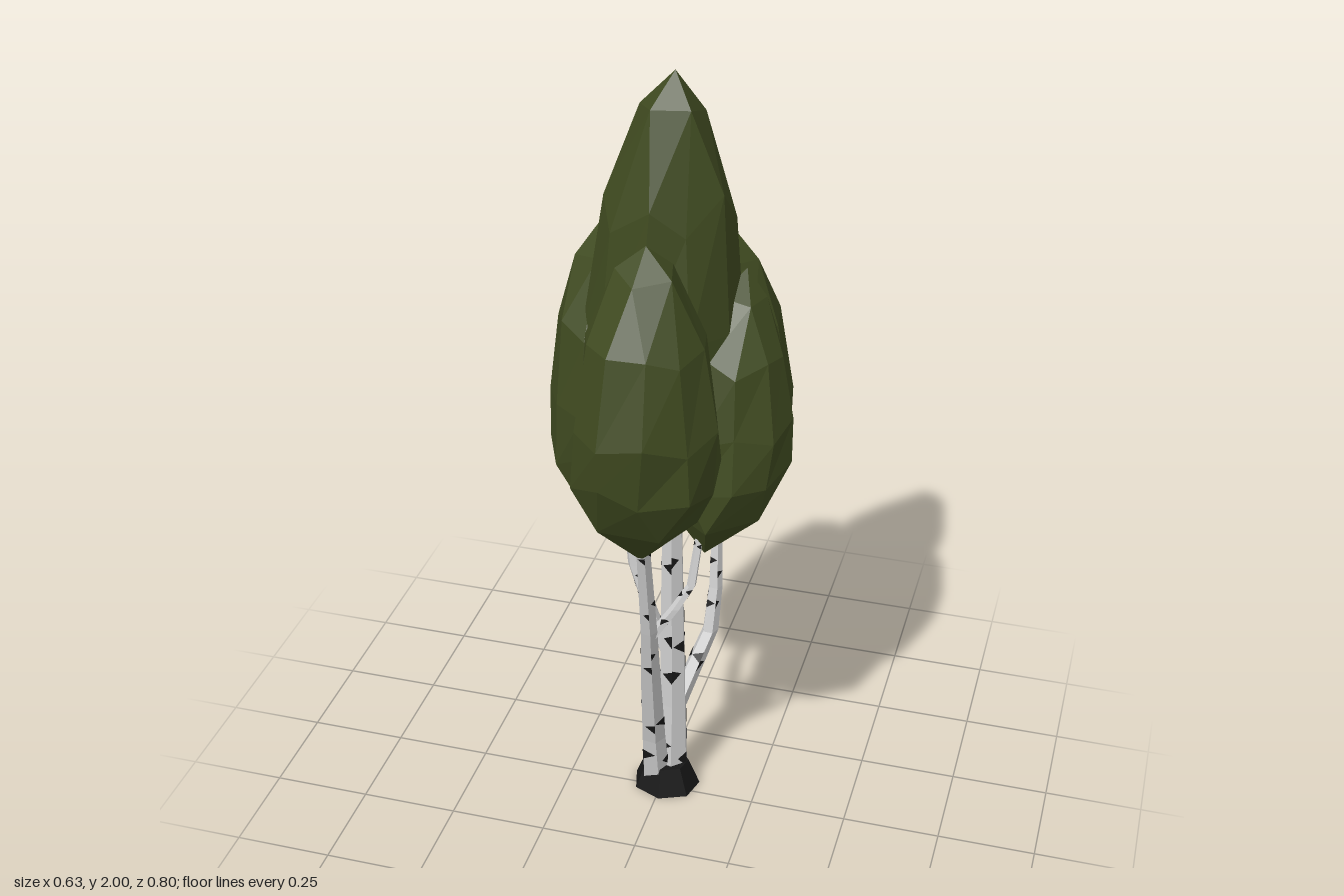
import * as THREE from 'three';

const mat = (color, extra = {}) => new THREE.MeshStandardMaterial({ color, flatShading: true, roughness: 1, ...extra });
const leafMat = mat(0x3f4a20);
const barkMat = mat(0xcccccc, { side: THREE.DoubleSide });
const darkMat = mat(0x161616, { side: THREE.DoubleSide });

// Repeatable noise in -1..1 from a position and a seed
function noise(x, y, z, seed) {
  const v = Math.sin(x * 12.99 + y * 78.23 + z * 37.72 + seed * 4.7) * 43758.55;
  return (v - Math.floor(v)) * 2 - 1;
}

function meshFrom(points, material, name) {
  const g = new THREE.BufferGeometry().setFromPoints(points);
  g.computeVertexNormals();
  const m = new THREE.Mesh(g, material);
  m.name = name;
  return m;
}

// Faceted, twisted egg with a broad, low shoulder above a short conical underside;
// tips are fixed and the middle bulges towards "mid"
function foliage(name, top, bottom, mid, rx, rz, seed) {
  const g = new THREE.IcosahedronGeometry(1, 1);
  g.rotateX(-Math.atan((1 + Math.sqrt(5)) / 2));
  const p = g.attributes.position;
  for (let i = 0; i < p.count; i++) {
    const [x, s, z] = [p.getX(i), p.getY(i), p.getZ(i)].map(v => Math.round(v * 1000) / 1000 + 0);
    const ring = Math.hypot(x, z), bulge = 1 - s * s;
    const a = Math.atan2(z, x) - s * 0.7 + seed;
    const r = ring * (1 - 0.18 * s + 0.15 * s * s - 0.25 * s ** 3) * (1 + 0.06 * noise(x, s, z, seed));
    const t = (s + 1) / 2 + ring * (0.17 * Math.max(0, -s) + 0.03 * noise(z, x, s, seed));
    const y = THREE.MathUtils.lerp(bottom[1], top[1], t);
    const cx = THREE.MathUtils.lerp(THREE.MathUtils.lerp(bottom[0], top[0], t), mid[0], bulge);
    const cz = THREE.MathUtils.lerp(THREE.MathUtils.lerp(bottom[2], top[2], t), mid[1], bulge);
    p.setXYZ(i, cx + Math.cos(a) * r * rx, y, cz + Math.sin(a) * r * rz);
  }
  g.computeVertexNormals();
  const m = new THREE.Mesh(g, leafMat);
  m.name = name;
  return m;
}

// Tapering stem through rings [x, y, z, radius], with dark wedge marks on its faces
function stem(name, rings, sides, markStep, seed) {
  const group = new THREE.Group();
  group.name = name;
  const corner = (i, k, grow = 1) => {
    const [x, y, z, r] = rings[i];
    const a = (k / sides) * Math.PI * 2 + seed;
    return new THREE.Vector3(x + Math.cos(a) * r * grow, y, z + Math.sin(a) * r * grow);
  };
  const bark = [], marks = [];
  for (let i = 0; i < rings.length - 1; i++) {
    const height = rings[i + 1][1] - rings[i][1];
    for (let k = 0; k < sides; k++) {
      const a = corner(i, k), b = corner(i, k + 1), c = corner(i + 1, k), d = corner(i + 1, k + 1);
      bark.push(a, c, b, b, c, d);
      const on = (u, t) => corner(i, k, 1.04).lerp(corner(i, k + 1, 1.04), u)
        .lerp(corner(i + 1, k, 1.04).lerp(corner(i + 1, k + 1, 1.04), u), t);
      const count = Math.max(1, Math.round(height / markStep));
      for (let n = 0; n < count; n++) {
        const t = (n + 0.5 + 0.3 * noise(i, k, n, seed)) / count;
        const h = Math.min(0.2, rings[i][3] * 0.5 / height);
        const flip = noise(k, n, i, seed) > 0;
        const tip = 0.75 + 0.25 * noise(n, i, k, seed);
        const low = on(flip ? 1 : 0, t - h), high = on(flip ? 1 : 0, t + h);
        const point = on(flip ? 1 - tip : tip, t + h * 0.3);
        marks.push(...(flip ? [low, point, high] : [low, high, point]));
      }
    }
  }
  group.add(meshFrom(bark, barkMat, name + 'Bark'), meshFrom(marks, darkMat, name + 'Marks'));
  return group;
}

export function createModel() {
  const tree = new THREE.Group();
  tree.name = 'birchTree';

  // Dark flared foot
  const foot = new THREE.Mesh(new THREE.CylinderGeometry(0.06, 0.09, 0.075, 7), darkMat);
  foot.name = 'trunkFoot';
  foot.scale.z = 0.88;
  foot.position.set(0.008, 0.0375, -0.025);
  tree.add(foot);

  // Trunk, leaning front stem and branches
  tree.add(
    stem('mainTrunk', [[0.018, 0.03, -0.038, 0.048], [0.02, 0.26, -0.045, 0.038],
      [0.015, 0.55, -0.055, 0.033], [0.01, 0.95, -0.067, 0.025]], 6, 0.18, 0.3),
    stem('frontStem', [[-0.015, 0.03, -0.008, 0.037], [-0.015, 0.18, 0.02, 0.032],
      [-0.005, 0.42, 0.082, 0.027], [0.005, 0.6, 0.13, 0.022], [0.01, 0.95, 0.205, 0.017]], 5, 0.18, 1.1),
    stem('backBranch', [[0.03, 0.25, -0.045, 0.027], [0.095, 0.44, -0.138, 0.022],
      [0.1, 0.56, -0.168, 0.019], [0.09, 0.8, -0.215, 0.013]], 5, 0.16, 2.3),
    stem('rightBranch', [[0.0, 0.42, -0.05, 0.022], [-0.04, 0.52, -0.055, 0.019],
      [-0.09, 0.66, -0.065, 0.016], [-0.115, 0.84, -0.085, 0.013]], 5, 0.16, 3.2),
    stem('leftBranch', [[0.005, 0.57, 0.12, 0.016], [0.065, 0.66, 0.098, 0.014],
      [0.1, 0.72, 0.075, 0.012], [0.115, 0.9, 0.025, 0.01]], 5, 0.16, 4.4),
  );

  // Crown: tall centre with four smaller clumps around it
  tree.add(
    foliage('centreFoliage', [0.02, 2.0, -0.05], [0.01, 0.77, -0.06], [-0.005, -0.047], 0.19, 0.185, 1),
    foliage('frontFoliage', [0.02, 1.68, 0.19], [0.005, 0.85, 0.19], [0.035, 0.235], 0.173, 0.165, 2),
    foliage('rightFoliage', [-0.19, 1.57, -0.13], [-0.11, 0.72, -0.1], [-0.148, -0.105], 0.164, 0.18, 3),
    foliage('backFoliage', [0.11, 1.55, -0.24], [0.08, 0.67, -0.21], [0.1, -0.237], 0.17, 0.165, 4),
    foliage('leftFoliage', [0.18, 1.51, -0.11], [0.12, 0.79, 0.03], [0.157, -0.035], 0.155, 0.155, 5),
  );
  return tree;
}
